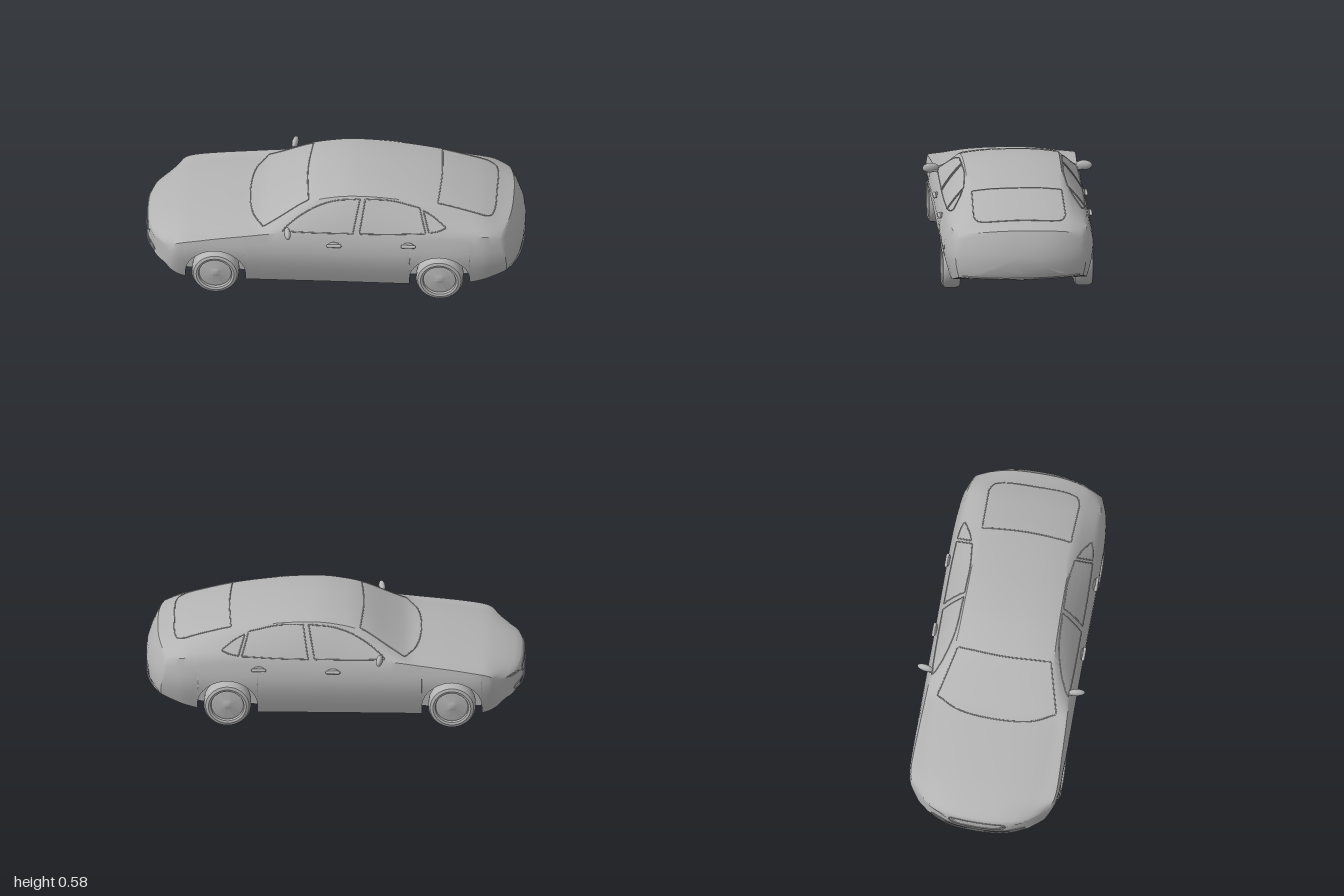
import * as THREE from 'three';
import { toCreasedNormals } from 'three/addons/utils/BufferGeometryUtils.js';

const paint = new THREE.MeshStandardMaterial({ color: 0xb4b4b4, side: THREE.DoubleSide });
paint.name = 'grey paint';

// Smooth (or straight) interpolation through [x, value] pairs
function curve(p, smooth = true) {
  const n = p.length - 1;
  const slope = (i) => {
    const a = p[Math.max(i - 1, 0)], b = p[Math.min(i + 1, n)];
    return (b[1] - a[1]) / (b[0] - a[0]);
  };
  return (x) => {
    if (x <= p[0][0]) return p[0][1];
    if (x >= p[n][0]) return p[n][1];
    let i = 0;
    while (x > p[i + 1][0]) i++;
    const h = p[i + 1][0] - p[i][0], t = (x - p[i][0]) / h, d = p[i + 1][1] - p[i][1];
    if (!smooth) return p[i][1] + d * t;
    const e = t * t * (3 - 2 * t);
    return p[i][1] + d * e + h * (slope(i) * t * (1 - t) ** 2 - slope(i + 1) * t * t * (1 - t));
  };
}

// Body lines along the length (nose at -x)
const topY = curve([[-1, .285], [-.95, .31], [-.9, .325], [-.8, .347], [-.6, .375], [-.43, .394], [-.38, .405], [-.3, .447],
  [-.14, .538], [0, .573], [.12, .582], [.3, .572], [.55, .535], [.75, .482], [.9, .437], [1, .415]]);
const beltY = curve([[-1, .26], [-.9, .295], [-.7, .335], [-.45, .368], [-.3, .385], [0, .395], [.5, .4], [.75, .395], [.9, .38], [1, .36]]);
const width = curve([[-1, .34], [-.9, .375], [-.8, .395], [-.7, .402], [0, .402], [.6, .402], [.8, .387], [.9, .367], [1, .345]]);
const edgeZ = curve([[-1, .25], [-.8, .31], [-.5, .335], [-.38, .328], [-.3, .31], [-.14, .268], [0, .258], [.5, .252], [.75, .258], [.93, .27], [1, .27]]);
const floorY = curve([[-1, .14], [-.79, .075], [-.7, .067], [.4, .07], [.7, .085], [.75, .1], [1, .158]], false);
const sideBulge = curve([[.06, .87], [.1, .91], [.2, .98], [.26, 1], [.31, .985], [.385, .93], [.41, .9]]);

const WHEELS = [-.62, .565], ARCH = .158, WHEEL_Y = .125;

// Half cross-section as [z, y], from floor centre round to roof centre
function section(s) {
  const floor = floorY(s), belt = beltY(s), w = width(s), top = topY(s), ez = edgeZ(s), ey = top - .022;
  let arch = floor;
  for (const c of WHEELS) {
    const d = Math.abs(s - c);
    if (d <= ARCH) arch = WHEEL_Y + Math.sqrt(Math.max(0, ARCH * ARCH - d * d)) * .97;
  }
  const pts = [[0, floor], [.27, floor], [.27, arch]];
  for (let i = 0; i <= 6; i++) {
    const y = arch + (belt - arch) * i / 6;
    pts.push([w * sideBulge(y), y]);
  }
  const bz = pts[9][0];
  for (const t of [.25, .5, .75, 1])
    pts.push([bz + (ez - bz) * t + .03 * t * (1 - t), belt + (ey - belt) * t]);
  for (const k of [.93, .8, .6, .4, .2, 0]) pts.push([ez * k, top - .022 * k ** 2.5]);
  return pts;
}

// Bows the nose and tail in plan and in profile
function warp(s, y, z) {
  const f = Math.min(1, Math.max(0, (-.76 - s) / .24)) ** 2;
  const r = Math.min(1, Math.max(0, (s - .72) / .28)) ** 2;
  const az = Math.abs(z), hi = Math.max(0, y - .24), lo = Math.max(0, .2 - y);
  const x = s + f * (.03 * (az / .2) ** 2.7 + 9 * hi * hi)
    - r * (.06 * (az / .3) ** 2.7 + .062 * (hi / .175) ** 1.7 + 5 * lo * lo);
  return new THREE.Vector3(x, y, z);
}

function mesh(name, geometry, parent) {
  const m = new THREE.Mesh(geometry, paint);
  m.name = name;
  parent.add(m);
  return m;
}

// Quad grid from rows of points
function grid(rows) {
  const pos = [], idx = [], n = rows[0].length;
  rows.forEach((r) => r.forEach((p) => pos.push(p.x, p.y, p.z)));
  for (let j = 0; j < rows.length - 1; j++)
    for (let i = 0; i < n - 1; i++) {
      const a = j * n + i, b = a + n;
      idx.push(a, b, b + 1, a, b + 1, a + 1);
    }
  const g = new THREE.BufferGeometry();
  g.setAttribute('position', new THREE.Float32BufferAttribute(pos, 3));
  g.setIndex(idx);
  g.computeVertexNormals();
  return g;
}

function bodyGeometry() {
  const st = [];
  for (let i = 0; i <= 80; i++) {
    const s = -1 + i / 40;
    if (WHEELS.every((c) => Math.abs(s - c) > ARCH + .004)) st.push(s);
  }
  for (const c of WHEELS) {
    st.push(c - ARCH - .001, c + ARCH + .001);
    for (let i = 0; i <= 20; i++) st.push(c - ARCH * .9999 * Math.cos(Math.PI * i / 20));
  }
  st.sort((a, b) => a - b);
  const ring = (s, k = 1) => {
    const half = section(s), mid = (half[0][1] + half[half.length - 1][1]) / 2;
    const all = [...half, ...half.slice(0, -1).reverse().map(([z, y]) => [-z, y])];
    return all.map(([z, y]) => warp(s, mid + (y - mid) * k, z * k));
  };
  const caps = [0, .25, .5, .75, .92];
  const rows = [...caps.map((k) => ring(-1, k)), ...st.map((s) => ring(s)), ...caps.reverse().map((k) => ring(1, k))];
  return toCreasedNormals(grid(rows), .6);
}

// Finds the body surface: key 0 looks up y at a given z, key 1 looks up z at a given y
function lookup(s, key, v) {
  const p = section(s);
  for (let i = p.length - 1; i > 3; i--) {
    const a = p[i][key], b = p[i - 1][key];
    if ((v - a) * (v - b) <= 0 && a !== b) return p[i][1 - key] + (p[i - 1][1 - key] - p[i][1 - key]) * (v - a) / (b - a);
  }
  return p[p.length - 1][1 - key];
}
const onSide = (side) => (x, y) => warp(x, y + .001, side * (lookup(x, 1, y) + .002));
const onTop = (x, z) => warp(x, lookup(x, 0, Math.abs(z)) + .003, z);

function tube(name, pts, r, closed, parent) {
  const c = new THREE.CatmullRomCurve3(pts, closed, 'centripetal');
  return mesh(name, new THREE.TubeGeometry(c, pts.length * 2, r, 6, closed), parent);
}

// Glass panel laid on the body between two edges, with a thin seal round it
function glass(name, lower, upper, map, parent) {
  const line = (l) => new THREE.CatmullRomCurve3(l.map(([a, b]) => new THREE.Vector3(a, b, 0)), false, 'centripetal');
  const lo = line(lower), hi = line(upper), rows = [];
  for (let j = 0; j <= 10; j++) {
    const row = [];
    for (let i = 0; i <= 16; i++) {
      const p = lo.getPoint(i / 16).lerp(hi.getPoint(i / 16), j / 10);
      row.push(map(p.x, p.y));
    }
    rows.push(row);
  }
  mesh(name, grid(rows), parent);
  const right = rows.slice(1, 10).map((r) => r[16]), left = rows.slice(1, 10).map((r) => r[0]);
  tube(name + 'Seal', [...rows[0], ...right, ...rows[10].slice().reverse(), ...left.reverse()], .003, true, parent);
}

export function createModel() {
  const car = new THREE.Group();
  car.name = 'car';
  mesh('body', bodyGeometry(), car);

  // Windscreen and rear window
  glass('windscreen', [[-.37, -.318], [-.43, -.2], [-.453, 0], [-.43, .2], [-.37, .318]], [[-.135, -.25], [-.15, 0], [-.135, .25]], onTop, car);
  glass('rearWindow', [[.55, -.238], [.56, 0], [.55, .238]], [[.8, -.243], [.86, -.215], [.875, 0], [.86, .215], [.8, .243]], onTop, car);

  // Wheel profile: tyre with a recessed rim and hub
  const wheelGeo = toCreasedNormals(new THREE.LatheGeometry([[0, -.025], [.08, -.025], [.085, -.046], [.1, -.05], [.115, -.045],
    [.124, -.03], [.125, 0], [.124, .03], [.115, .045], [.1, .05], [.088, .046], [.085, .032], [.075, .036], [.03, .03], [.02, .035],
    [0, .036]].map(([r, h]) => new THREE.Vector2(r, h)), 40), .6);

  for (const side of [1, -1]) {
    const half = new THREE.Group();
    half.name = side > 0 ? 'leftHandFittings' : 'rightHandFittings';
    car.add(half);

    // Side windows
    glass('frontDoorWindow', [[-.265, .398], [-.1, .396], [.105, .397]], [[-.25, .415], [-.17, .468], [-.08, .512], [.02, .54], [.138, .549]], onSide(side), half);
    glass('rearDoorWindow', [[.14, .397], [.3, .4], [.49, .408]], [[.167, .549], [.3, .542], [.455, .51]], onSide(side), half);
    glass('quarterWindow', [[.508, .41], [.56, .418], [.595, .43]], [[.475, .5], [.53, .474], [.592, .436]], onSide(side), half);

    // Wheels and their axle stubs
    for (const x of WHEELS) {
      const w = mesh('wheel', wheelGeo, half);
      w.position.set(x, WHEEL_Y, side * .35);
      w.rotation.x = side * Math.PI / 2;
      const a = mesh('axleStub', new THREE.CylinderGeometry(.02, .02, .08, 12), half);
      a.position.set(x, WHEEL_Y, side * .295);
      a.rotation.x = Math.PI / 2;
    }

    // Door mirror
    const m = mesh('mirror', new THREE.SphereGeometry(1, 20, 14), half);
    m.scale.set(.017, .026, .044);
    m.position.set(-.238, .412, side * .406);
    m.rotation.y = side * .15;
    const arm = mesh('mirrorArm', new THREE.BoxGeometry(.025, .012, .04), half);
    arm.position.set(-.24, .397, side * .37);

    // Door handles
    for (const [x, y] of [[.008, .336], [.4, .345]]) {
      const h = mesh('doorHandle', new THREE.CapsuleGeometry(.009, .06, 6, 12), half);
      h.rotation.z = Math.PI / 2;
      h.position.set(x, y, side * (lookup(x, 1, y) + .012));
      const base = mesh('handleCup', new THREE.SphereGeometry(1, 16, 10), half);
      base.scale.set(.03, .016, .008);
      base.position.set(x, y, side * lookup(x, 1, y));
    }
  }

  // Grille and lower intake outlines on the nose
  for (const [name, y, hw, hh] of [['grilleFrame', .235, .15, .027], ['lowerIntakeFrame', .17, .25, .014]]) {
    const pts = [];
    for (let i = 0; i < 32; i++) {
      const a = i / 32 * Math.PI * 2, c = Math.cos(a), s = Math.sin(a);
      pts.push(warp(-1, y + hh * Math.sign(s) * Math.abs(s) ** .5, hw * Math.sign(c) * Math.abs(c) ** .5));
    }
    tube(name, pts, .0035, true, car);
  }

  // Rear bumper lip
  const lip = [];
  for (let i = 0; i <= 20; i++) lip.push(warp(1, .168, -.31 + .031 * i));
  tube('rearBumperLip', lip, .004, false, car);
  return car;
}
